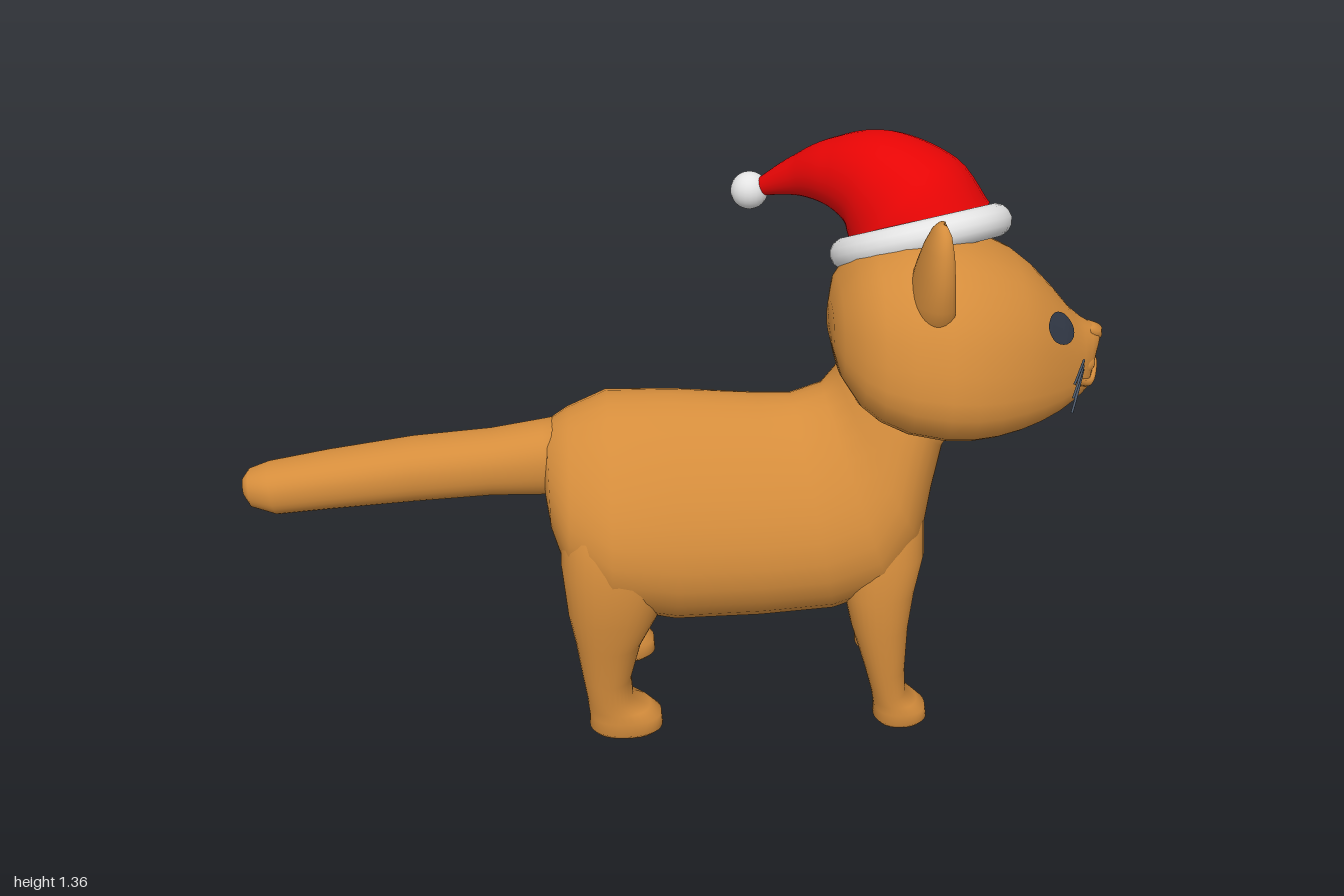
import * as THREE from 'three';
import { mergeVertices } from 'three/addons/utils/BufferGeometryUtils.js';

const V = (x, y, z) => new THREE.Vector3(x, y, z);
const mat = (name, color) => Object.assign(new THREE.MeshStandardMaterial({ color }), { name });

// Closed skin over a list of rings, with a fan at each end
function skin(rings) {
  const n = rings[0].length, last = rings.length - 1, pts = rings.flat(), idx = [];
  for (let i = 0; i < last; i++) for (let j = 0; j < n; j++) {
    const k = (j + 1) % n, a = i * n + j, b = i * n + k;
    idx.push(a, a + n, b, b, a + n, b + n);
  }
  const mean = r => r.reduce((s, p) => s.add(p), V(0, 0, 0)).divideScalar(n);
  const c0 = pts.length, c1 = c0 + 1;
  pts.push(mean(rings[0]), mean(rings[last]));
  for (let j = 0; j < n; j++) {
    const k = (j + 1) % n;
    idx.push(c0, j, k, c1, last * n + k, last * n + j);
  }
  const g = new THREE.BufferGeometry().setFromPoints(pts);
  g.setIndex(idx);
  g.computeVertexNormals();
  return g;
}

// Rounded ring: u is the sideways radius, v the other one; skew narrows the v side
function ring(c, u, v, power = 2, skew = 0, n = 32) {
  const bend = t => Math.sign(t) * Math.abs(t) ** (2 / power);
  return Array.from({ length: n }, (_, j) => {
    const a = j / n * Math.PI * 2, s = bend(Math.sin(a));
    return c.clone().addScaledVector(u, bend(Math.cos(a)) * (1 - skew * s)).addScaledVector(v, s);
  });
}

// Rows: top x, top y, bottom x, bottom y, half width
const spine = (rows, power, skew) => skin(rows.map(([xt, yt, xb, yb, w]) =>
  ring(V((xt + xb) / 2, (yt + yb) / 2, 0), V(0, 0, w), V((xt - xb) / 2, (yt - yb) / 2, 0), power, skew)));

// Rows from the top down: y, back x, front x, centre z, half width
const column = (rows, side, power) => skin(rows.map(([y, x0, x1, z, w]) =>
  ring(V((x0 + x1) / 2, y, z * side), V(0, 0, w), V((x1 - x0) / 2, 0, 0), power)));

export function createModel() {
  const fur = mat('fur', 0xd58d3c), dark = mat('eyeSlate', 0x333a48), grey = mat('whiskerGrey', 0x4c5868);
  const red = mat('hatRed', 0xe60505), white = mat('hatWhite', 0xe4e4e4);
  const model = new THREE.Group(), cat = new THREE.Group();
  model.name = 'catWithHat';
  cat.name = 'cat';
  cat.position.z = 0.035;
  model.add(cat);
  const add = (parent, name, geo, material, pos) => {
    const m = new THREE.Mesh(geo, material);
    m.name = name;
    if (pos) m.position.set(...pos);
    parent.add(m);
    return m;
  };

  // Torso, rising into the neck
  add(cat, 'torso', spine([
    [-.30, .69, -.295, .55, .08], [-.29, .732, -.285, .49, .14], [-.24, .762, -.25, .38, .215],
    [-.15, .80, -.15, .30, .278], [0, .80, 0, .262, .27], [.2, .787, .2, .258, .25],
    [.28, .785, .38, .27, .245], [.35, .81, .52, .32, .24], [.38, .85, .59, .45, .225],
    [.40, .90, .61, .58, .2], [.42, .94, .632, .69, .18], [.44, .97, .67, .745, .16]], 2, .28), fur);

  // Tail
  add(cat, 'tail', spine([
    [-1, .61, -.998, .57, .02], [-.985, .63, -.98, .545, .05], [-.94, .645, -.92, .527, .07],
    [-.8, .67, -.8, .538, .077], [-.6, .70, -.6, .552, .08], [-.42, .715, -.42, .562, .08],
    [-.3, .735, -.3, .56, .085], [-.22, .75, -.22, .56, .085]], 2.2), fur);

  // Head, wider at the cheeks than on top, tapering to the snout
  const head = add(cat, 'head', spine([
    [.365, 1.02, .365, .93, .07], [.38, 1.075, .38, .87, .15], [.42, 1.13, .42, .81, .215],
    [.46, 1.155, .46, .78, .25], [.52, 1.18, .52, .755, .28], [.6, 1.19, .6, .74, .295],
    [.66, 1.18, .66, .735, .288], [.72, 1.157, .72, .737, .268], [.78, 1.128, .78, .743, .236],
    [.83, 1.088, .83, .752, .2], [.88, 1.035, .88, .765, .155], [.92, .988, .92, .78, .112],
    [.947, .966, .943, .79, .085], [.97, .953, .958, .797, .062], [.985, .945, .968, .825, .04],
    [.992, .935, .982, .88, .02]], 2.5, .22), fur);
  const ray = new THREE.Raycaster();
  const onFace = (y, z, lift) => {
    ray.set(V(2, y, z), V(-1, 0, 0));
    const hit = ray.intersectObject(head)[0];
    return V((hit ? hit.point.x : .9) + lift, y, z);
  };

  // Muzzle and nose
  for (const s of [1, -1])
    add(cat, 'muzzle', new THREE.SphereGeometry(1, 20, 14), fur, [.928, .873, .034 * s]).scale.set(.05, .033, .048);
  add(cat, 'nose', column([[.952, .94, .978, 0, .026], [.945, .94, .995, 0, .036],
    [.925, .94, .998, 0, .024], [.905, .94, .99, 0, .008]], 1), fur);
  const lip = [[-.12, .862], [-.06, .836], [0, .866], [.06, .836], [.12, .862]];
  add(cat, 'lips', new THREE.TubeGeometry(new THREE.CatmullRomCurve3(
    lip.map(([z, y]) => onFace(y, z, .002))), 32, .009, 8), fur);

  for (const s of [1, -1]) {
    // Eyes: thin discs laid on the face
    const g = new THREE.RingGeometry(0, 1, 24, 5).rotateY(Math.PI / 2), p = g.attributes.position;
    for (let i = 0; i < p.count; i++) {
      const q = onFace(.997 + p.getY(i) * .036, .122 * s + p.getZ(i) * .044, .007);
      p.setXYZ(i, q.x, q.y, q.z);
    }
    g.computeVertexNormals();
    add(cat, 'eye', g, dark);

    // Whiskers
    for (const [y0, y1] of [[.906, .908], [.893, .874], [.883, .838]]) {
      const path = new THREE.QuadraticBezierCurve3(V(.935, y0, .1 * s),
        V(.912, (y0 + y1) / 2 + .006, .165 * s), V(.882, y1, .235 * s));
      add(cat, 'whisker', new THREE.TubeGeometry(path, 8, .003, 6), grey);
    }

    // Legs with paws
    add(cat, 'frontLeg', column([
      [.68, .44, .56, .09, .07], [.56, .395, .58, .12, .088], [.45, .385, .582, .142, .092],
      [.36, .395, .562, .155, .086], [.27, .415, .55, .163, .079], [.15, .452, .547, .165, .066],
      [.085, .47, .552, .165, .06], [.06, .475, .58, .165, .06], [.04, .478, .602, .165, .062],
      [.012, .478, .606, .165, .062], [0, .488, .595, .165, .052]], s, 2.3), fur);
    add(cat, 'hindLeg', column([
      [.7, -.21, -.05, .09, .08], [.62, -.245, -.01, .125, .1], [.54, -.262, 0, .15, .11],
      [.45, -.265, -.005, .168, .115], [.33, -.252, -.04, .17, .1], [.25, -.236, -.08, .168, .086],
      [.15, -.22, -.105, .168, .07], [.09, -.21, -.1, .168, .064], [.068, -.208, -.06, .168, .064],
      [.045, -.205, -.033, .168, .066], [.012, -.205, -.03, .168, .066], [0, -.195, -.042, .168, .055]], s, 2.3), fur);
  }

  // Ear, hollowed at the front
  const earRows = [[1.286, .562, .585, .205, .018], [1.27, .55, .598, .205, .04], [1.23, .535, .61, .2, .064],
    [1.17, .525, .62, .178, .09], [1.1, .515, .63, .155, .108], [1.02, .515, .63, .14, .09]];
  add(cat, 'ear', skin(earRows.map(([y, x0, x1, z, w]) => {
    const mid = (x0 + x1) / 2, r = ring(V(mid, y, z), V(0, 0, w), V((x1 - x0) / 2, 0, 0));
    for (const p of r) if (p.x > mid) p.x -= (x1 - x0) * .4 * Math.max(0, 1 - ((p.z - z) / w / .8) ** 2);
    return r;
  })), fur);

  // Hat: tapering bent cone, fur brim and bobble
  const hat = new THREE.Group();
  hat.name = 'hat';
  model.add(hat);
  const path = new THREE.CatmullRomCurve3([V(.585, 1.125, -.09), V(.55, 1.19, -.115), V(.48, 1.24, -.155),
    V(.40, 1.248, -.20), V(.32, 1.225, -.25), V(.225, 1.178, -.298)]);
  const radii = [.178, .166, .128, .085, .05, .018], steps = 40, sides = 28;
  const cone = new THREE.TubeGeometry(path, steps, 1, sides), p = cone.attributes.position;
  for (let i = 0; i < p.count; i++) {
    const u = Math.floor(i / (sides + 1)) / steps, c = path.getPointAt(u);
    const t = path.getUtoTmapping(u) * 5, k = Math.min(4, Math.floor(t));
    const r = THREE.MathUtils.lerp(radii[k], radii[k + 1], t - k);
    const q = V(p.getX(i), p.getY(i), p.getZ(i)).sub(c).multiplyScalar(r).add(c);
    p.setXYZ(i, q.x, q.y, q.z);
  }
  cone.deleteAttribute('uv');
  cone.deleteAttribute('normal');
  const smooth = mergeVertices(cone, 1e-5);
  smooth.computeVertexNormals();
  add(hat, 'hatCone', smooth, red);
  const brim = add(hat, 'hatBrim', new THREE.TorusGeometry(.175, .039, 14, 40), white, [.585, 1.127, -.088]);
  brim.quaternion.setFromUnitVectors(V(0, 0, 1), V(-.22, 1, -.43).normalize());
  add(hat, 'hatBobble', new THREE.SphereGeometry(.045, 20, 14), white, [.207, 1.17, -.305]);
  return model;
}
